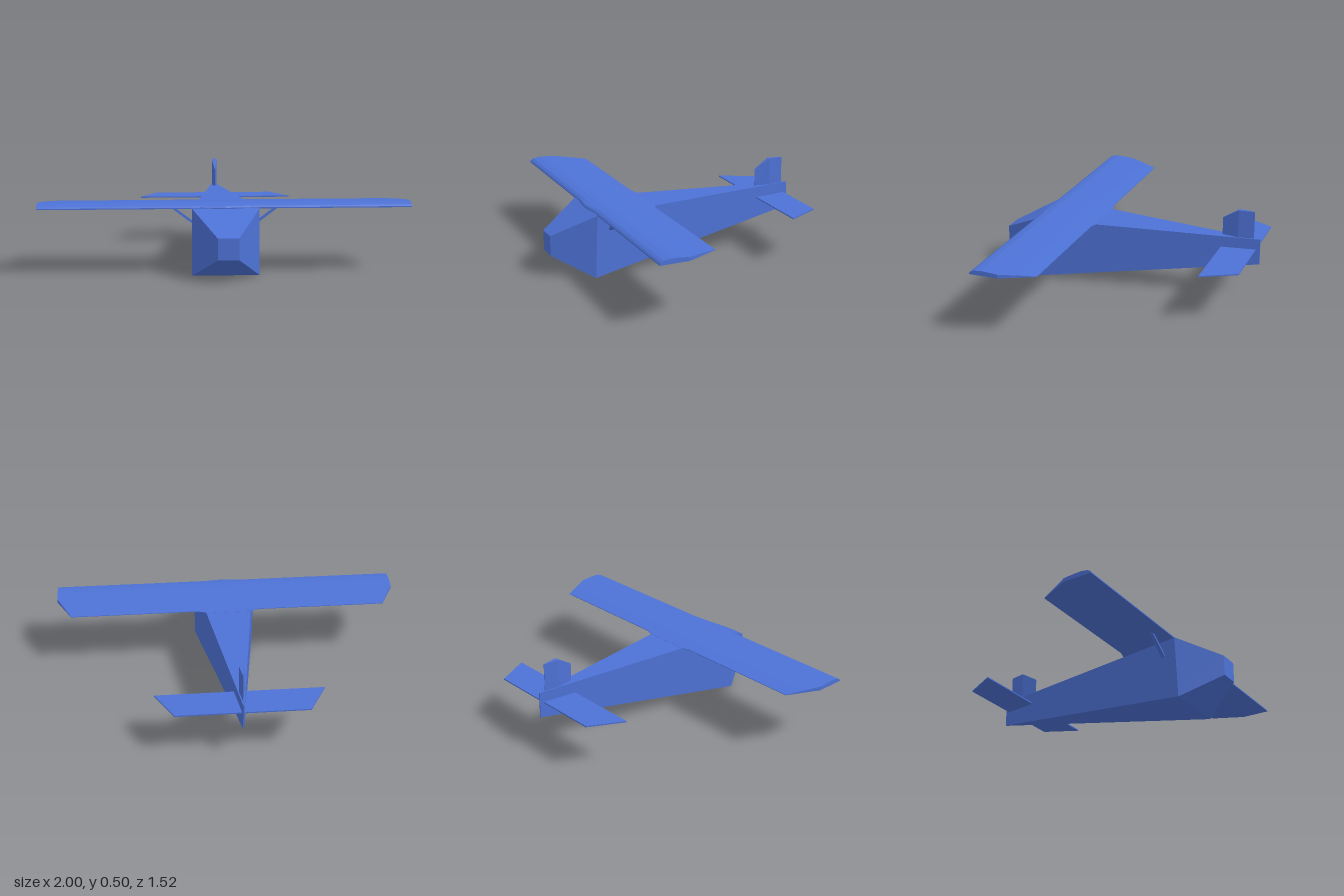
import * as THREE from 'three';

// Skin a list of matching closed rings and cap both ends, with flat facets
function loft(sections) {
  const pos = [];
  const tri = (a, b, c) => pos.push(...a, ...b, ...c);
  const n = sections[0].length;
  for (let s = 0; s < sections.length - 1; s++) {
    const a = sections[s], b = sections[s + 1];
    for (let i = 0; i < n; i++) {
      const j = (i + 1) % n;
      tri(a[i], b[i], b[j]);
      tri(a[i], b[j], a[j]);
    }
  }
  const front = sections[0], back = sections[sections.length - 1];
  for (let i = 1; i < n - 1; i++) {
    tri(front[0], front[i], front[i + 1]);
    tri(back[0], back[i + 1], back[i]);
  }
  const geo = new THREE.BufferGeometry();
  geo.setAttribute('position', new THREE.Float32BufferAttribute(pos, 3));
  geo.computeVertexNormals();
  return geo;
}

// Rectangular cross-section facing +z; the top edge may sit at its own z
const rect = (hw, lo, hi, z, zTop = z) =>
  [[-hw, lo, z], [hw, lo, z], [hw, hi, zTop], [-hw, hi, zTop]];

// Upper wing profile as [z, y], trailing edge to leading edge
const PROFILE = [[0.165, 0.361], [0.18, 0.363], [0.27, 0.373], [0.36, 0.381],
  [0.42, 0.386], [0.46, 0.388], [0.5, 0.382], [0.515, 0.374], [0.522, 0.366]];
const WING_BOTTOM = 0.36;

function topY(z) {
  for (let i = 1; i < PROFILE.length; i++) {
    const [z0, y0] = PROFILE[i - 1], [z1, y1] = PROFILE[i];
    if (z <= z1) return y0 + (y1 - y0) * (z - z0) / (z1 - z0);
  }
  return WING_BOTTOM;
}

// Wing rib at x, with the profile cut off behind the trailing limit
function rib(x, trail, bulge = 0) {
  const top = PROFILE.map(([z]) => {
    const zc = Math.max(z, trail);
    return [x, topY(zc), zc + (z > 0.5 ? bulge : 0)];
  });
  return [[x, WING_BOTTOM, 0.522 + bulge], [x, WING_BOTTOM, trail], ...top];
}

export function createModel() {
  const model = new THREE.Group();
  model.name = 'airplane';
  const blue = new THREE.MeshStandardMaterial({ color: 0x4d72d6 });
  blue.name = 'blue';

  const add = (name, geo) => {
    const mesh = new THREE.Mesh(geo, blue);
    mesh.name = name;
    model.add(mesh);
    return mesh;
  };

  // Fuselage: blunt nose, tall cabin, knife-edge tail
  add('fuselage', loft([
    rect(0.056, 0.125, 0.24, 0.758),
    rect(0.18, 0.003, 0.362, 0.54, 0.525),
    rect(0.003, 0.197, 0.346, -0.757),
  ]));

  // Wing with clipped tips and a slight swell at the centre
  const half = [[1, 0.36], [0.9575, 0.27], [0.915, 0.18], [0.18, 0.18], [0.13, 0.165]];
  add('wing', loft([
    ...half.map(([x, t]) => rib(x, t)),
    rib(0, 0.165, 0.012),
    ...half.slice().reverse().map(([x, t]) => rib(-x, t)),
  ]));

  // Tail surfaces
  add('fin', loft([
    rect(0.001, 0.33, 0.45, -0.54),
    rect(0.014, 0.33, 0.506, -0.632),
    rect(0.001, 0.33, 0.504, -0.72),
  ]));
  add('tailplane', loft([
    rect(0.46, 0.278, 0.285, -0.54),
    rect(0.36, 0.278, 0.285, -0.733),
  ]));

  // Wing struts
  for (const side of [1, -1]) {
    const strut = add(side > 0 ? 'leftStrut' : 'rightStrut',
      new THREE.BoxGeometry(0.155, 0.012, 0.02));
    strut.position.set(side * 0.225, 0.316, 0.445);
    strut.rotation.z = side * Math.atan2(0.09, 0.12);
  }
  return model;
}
